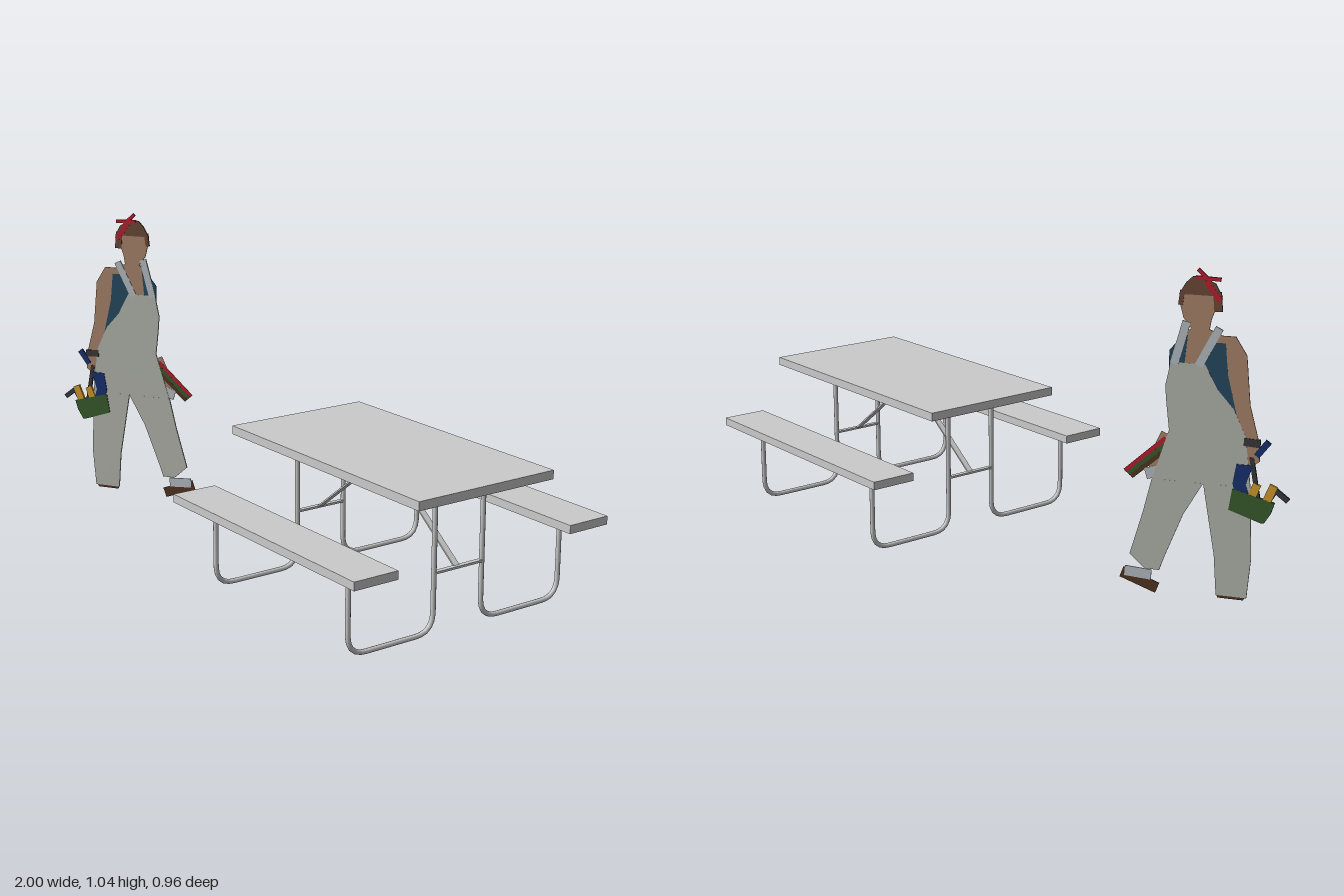
import * as THREE from 'three';

const grey = new THREE.MeshStandardMaterial({ color: 0xcccccc });
const V = (x, y, z) => new THREE.Vector3(x, y, z);

function add(parent, name, geometry, material = grey) {
  const mesh = new THREE.Mesh(geometry, material);
  mesh.name = name;
  parent.add(mesh);
  return mesh;
}

function box(parent, name, x0, x1, y0, y1, z0, z1) {
  const mesh = add(parent, name, new THREE.BoxGeometry(x1 - x0, y1 - y0, z1 - z0));
  mesh.position.set((x0 + x1) / 2, (y0 + y1) / 2, (z0 + z1) / 2);
}

// One bent pipe: bench, down, along the ground, up to the table top
function pipe(x, side) {
  const r = 0.065, b = 0.0085, out = 0.405, inn = 0.092;
  const p = (y, z) => V(x, y, z * side);
  const path = new THREE.CurvePath();
  path.add(new THREE.LineCurve3(p(0.265, out), p(b + r, out)));
  path.add(new THREE.QuadraticBezierCurve3(p(b + r, out), p(b, out), p(b, out - r)));
  path.add(new THREE.LineCurve3(p(b, out - r), p(b, inn + r)));
  path.add(new THREE.QuadraticBezierCurve3(p(b, inn + r), p(b, inn), p(b + r, inn)));
  path.add(new THREE.LineCurve3(p(b + r, inn), p(0.445, inn)));
  return new THREE.TubeGeometry(path, 48, 0.008, 10);
}

function createTable() {
  const table = new THREE.Group();
  table.name = 'picnicTable';
  box(table, 'tableTop', 0.065, 1, 0.449, 0.477, -0.25, 0.258);
  box(table, 'middleCleat', 0.505, 0.555, 0.438, 0.449, -0.222, 0.222);
  for (const side of [-1, 1]) {
    const z = 0.404 * side;
    box(table, 'bench', 0.065, 1, 0.263, 0.29, z - 0.077, z + 0.077);
  }
  for (const x of [0.19, 0.874]) {
    box(table, 'topCleat', x - 0.02, x + 0.02, 0.438, 0.449, -0.222, 0.222);
    box(table, 'crossBar', x - 0.008, x + 0.008, 0.19, 0.197, -0.092, 0.092);
    for (const side of [-1, 1]) {
      const z = 0.385 * side;
      add(table, 'pipeLeg', pipe(x, side));
      box(table, 'benchCleat', x - 0.015, x + 0.015, 0.258, 0.263, z - 0.039, z + 0.039);
    }
    // Flat diagonal brace from the cross bar to the middle of the top
    const a = V(x, 0.192, 0.003), b = V(x < 0.5 ? 0.52 : 0.544, 0.443, 0.003);
    const d = b.clone().sub(a);
    const brace = add(table, 'diagonalBrace', new THREE.BoxGeometry(d.length(), 0.005, 0.021));
    brace.position.copy(a).add(b).multiplyScalar(0.5);
    brace.rotation.z = Math.atan2(d.y, d.x);
  }
  return table;
}

function createFigure() {
  const figure = new THREE.Group();
  figure.name = 'standingFigure';
  const unit = 0.00275;
  const at = (x, y) => new THREE.Vector2(x * 0.00497, y * unit);

  // Thin cut-out; each later piece is slightly thicker, so it shows on both faces
  function cutout(name, color, points) {
    const depth = 0.001 + 0.0003 * figure.children.length;
    const geometry = new THREE.ExtrudeGeometry(new THREE.Shape(points), { depth, bevelEnabled: false });
    geometry.translate(0, 0, -depth / 2);
    add(figure, name, geometry, new THREE.MeshStandardMaterial({ color }));
  }
  // Outline from rows of height, left edge, right edge
  function band(name, color, ...rows) {
    const left = rows.map(([y, l]) => at(l, y));
    const right = rows.map(([y, , r]) => at(r, y));
    cutout(name, color, [...left, ...right.reverse()]);
  }
  // Straight strip between two points
  function strip(name, color, x0, y0, x1, y1, width) {
    const a = at(x0, y0), b = at(x1, y1), d = b.clone().sub(a).normalize();
    const n = new THREE.Vector2(-d.y, d.x).multiplyScalar(width * unit / 2);
    cutout(name, color, [a.clone().add(n), a.clone().sub(n), b.clone().sub(n), b.clone().add(n)]);
  }

  const skin = 0xa58268, denim = 0xb0b2aa, pale = 0xb4bcc0, shirt = 0x24485e;
  const hair = 0x694736, red = 0xb81c2c, dark = 0x38383a, brown = 0x50331f;
  const yellow = 0xd0982a, blue = 0x17306e, green = 0x38592c;

  // Far hand with a bundle of long tools
  strip('farHand', skin, 76, 190, 86, 150, 14);
  [red, green, brown].forEach((c, i) => strip('longTool', c, 77, 185 - 7 * i, 102 - 2 * i, 143 - 3 * i, 5));
  strip('glove', pale, 80, 147, 89, 142, 13);

  // Shoes
  band('nearShoe', brown, [12, 24, 43], [5, 26, 42]);
  strip('farShoe', brown, 80, 8, 103, 23, 13);
  strip('farShoeTop', pale, 84, 23, 101, 25, 12);

  // Body and clothes
  band('headAndNeck', skin, [364, 54, 64], [342, 47, 71], [322, 51, 68], [311, 52, 63], [302, 40, 69], [268, 46, 72]);
  band('nearArm', skin, [305, 36, 46], [285, 29, 50], [230, 26, 40], [190, 20, 31], [168, 19, 31], [161, 24, 27]);
  band('shirtNearSide', shirt, [297, 42, 48], [262, 40, 58], [218, 34, 37]);
  band('shirtFarSide', shirt, [303, 65, 68], [285, 66, 76], [262, 67, 76]);
  band('bib', denim, [272, 54, 75], [245, 46, 78], [225, 36, 77], [195, 28, 75], [136, 24, 85]);
  band('nearTrouserLeg', denim, [137, 24, 53], [55, 22, 45], [8, 24, 43]);
  band('farTrouserLeg', denim, [137, 53, 85], [98, 65, 90], [46, 76, 98], [30, 79, 88]);
  strip('nearStrap', pale, 46, 313, 58, 270, 9);
  strip('farStrap', pale, 66, 318, 73, 270, 9);

  // Hair and headscarf
  band('hair', hair, [368, 57, 63], [361, 49, 67], [348, 45, 71]);
  strip('nearHairSide', hair, 48, 352, 47, 331, 9);
  strip('farHairSide', hair, 69, 352, 70, 336, 5);
  strip('headscarf', red, 46, 343, 55, 364, 6);
  strip('scarfTip', red, 52, 363, 60, 376, 4);
  strip('scarfBow', red, 46, 366, 61, 367, 4);

  // Near wrist and tool basket
  strip('wristband', dark, 19, 188, 29, 189, 9);
  strip('basketHandle', dark, 24, 172, 19, 122, 5);
  strip('plierHandles', blue, 14, 191, 21, 174, 7);
  band('drill', blue, [163, 23, 33], [140, 27, 35], [120, 23, 31]);
  strip('hammerHead', dark, 1, 126, 9, 137, 6);
  strip('hammerHandle', dark, 9, 136, 15, 118, 6);
  for (const x of [10, 20]) strip('toolHandle', yellow, x, 142, x + 5, 119, 9);
  band('toolBasket', green, [134, 33, 35], [122, 9, 36], [110, 11, 37], [98, 15, 17]);

  figure.position.set(-1, 0, 0.29);
  figure.rotation.y = 0.586;
  return figure;
}

export function createModel() {
  const model = new THREE.Group();
  model.name = 'picnicTableWithFigure';
  model.add(createTable(), createFigure());
  return model;
}
